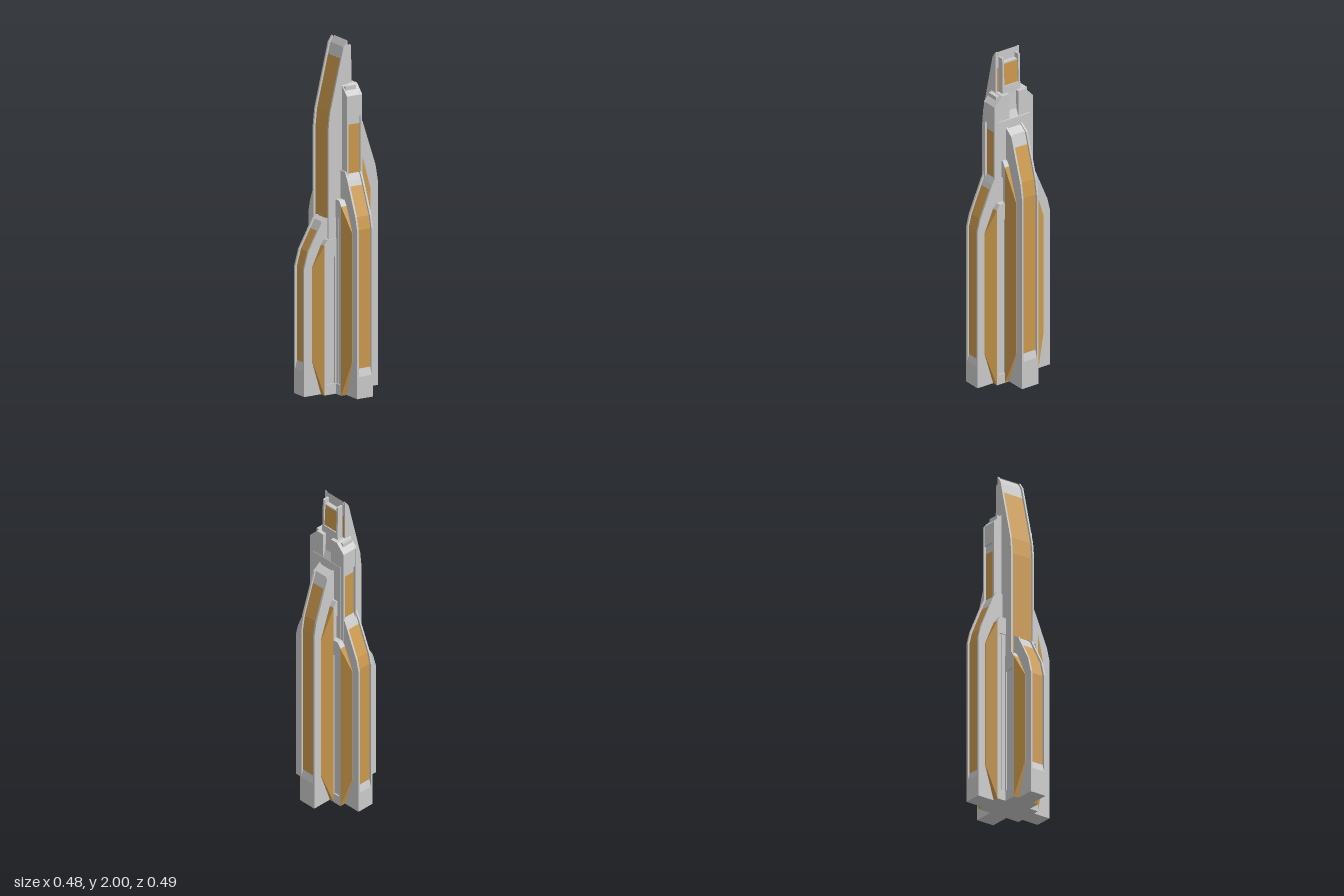
import * as THREE from 'three';

const grey = new THREE.MeshStandardMaterial({ color: 0xcccccc, flatShading: true });
const gold = new THREE.MeshStandardMaterial({ color: 0xcc9a4d, flatShading: true });

// Side outline (r, y) extruded between two z planes, with an optional hole
function slab(parent, name, pts, z0, z1, mat = grey, hole) {
  const shape = new THREE.Shape(pts.map(p => new THREE.Vector2(...p)));
  if (hole) shape.holes.push(new THREE.Path(hole.map(p => new THREE.Vector2(...p))));
  const geo = new THREE.ExtrudeGeometry(shape, { depth: z1 - z0, bevelEnabled: false });
  geo.translate(0, 0, z0);
  const mesh = new THREE.Mesh(geo, mat);
  mesh.name = name;
  parent.add(mesh);
  return mesh;
}

const rect = (x0, y0, x1, y1) => [[x0, y0], [x1, y0], [x1, y1], [x0, y1]];

// Part of a rising path between two heights
function clip(path, y0, y1) {
  const at = y => {
    for (let i = 1; i < path.length; i++) {
      const [a, b] = [path[i - 1], path[i]];
      if (y <= b[1]) return [a[0] + (b[0] - a[0]) * (y - a[1]) / (b[1] - a[1]), y];
    }
    return path[path.length - 1];
  };
  return [at(y0), ...path.filter(p => p[1] > y0 && p[1] < y1), at(y1)];
}

// Buttress: two side rails with a recessed gold strip, grey foot and cap between them
function buttress(parent, { path, inner, w, goldFrom, goldTo, foot, capFrom }) {
  const rail = 0.011, inset = 0.012;
  const bottom = path[0][1], top = path[path.length - 1][1];
  const body = (y0, y1, d) => {
    const line = clip(path, y0, y1).map(([r, y]) => [r - d, y]);
    return [[inner, y0], ...line, [inner, y1]];
  };
  for (const s of [-1, 1]) {
    const a = s * w, b = s * (w - rail);
    slab(parent, 'rail', body(bottom, top, 0), Math.min(a, b), Math.max(a, b));
  }
  const m = w - rail;
  slab(parent, 'goldStrip', body(goldFrom, goldTo, inset), -m, m, gold);
  slab(parent, 'cap', body(goldTo, top, inset), -m, m);
  if (capFrom) slab(parent, 'raisedCap', body(capFrom, top, 0.001), -m, m);
  if (foot) {
    const r = path[0][0];
    slab(parent, 'foot', [[inner, 0], [r, 0], [r, goldFrom - 0.045], [r - inset, goldFrom], [inner, goldFrom]], -m, m);
  }
}

// Slanted gold flanks and the panelled column behind a buttress
function flanks(parent, { r1, r2, w, w2, ya, yb }) {
  const wing = slab(parent, 'goldFlank', [[r2, 0], [r1, 0.2], [r1, ya], [r2, yb]], -w2, w2, gold);
  const p = wing.geometry.attributes.position;
  for (let i = 0; i < p.count; i++) {
    if (p.getX(i) > r2 + 0.01) p.setZ(i, Math.sign(p.getZ(i)) * (w + 0.003));
  }
  wing.geometry.computeVertexNormals();

  const outline = [[0, 0], [r2, 0], [r2, yb], [r2 - 0.02, yb + 0.03], [0, yb + 0.03]];
  const d = 0.008;
  slab(parent, 'column', outline, -w2 + d, w2 - d);
  const hole = rect(0.06, 0.06, r2 - 0.012, yb - 0.07);
  slab(parent, 'columnFrame', outline, w2 - d, w2, grey, hole);
  slab(parent, 'columnFrame', outline, -w2, -w2 + d, grey, hole);
}

export function createModel() {
  const model = new THREE.Group();
  model.name = 'tower';
  const side = (name, angle, x = 0) => {
    const g = new THREE.Group();
    g.name = name;
    g.rotation.y = angle;
    g.position.x = x;
    model.add(g);
    return g;
  };

  // Tall buttress on the left
  const left = side('leftButtress', 0);
  buttress(left, {
    path: [[0.24, 0], [0.24, 1.17], [0.225, 1.26], [0.14, 1.52], [0.09, 1.555]],
    inner: 0.05, w: 0.056, goldFrom: 0.21, goldTo: 1.45, foot: true,
  });
  flanks(left, { r1: 0.19, r2: 0.12, w: 0.056, w2: 0.085, ya: 1.13, yb: 1.33 });

  // Short buttress on the right
  const right = side('rightButtress', Math.PI);
  buttress(right, {
    path: [[0.24, 0], [0.24, 0.73], [0.215, 0.82], [0.125, 0.98], [0.095, 1.0]],
    inner: 0.04, w: 0.051, goldFrom: 0.19, goldTo: 0.93, foot: true,
  });
  flanks(right, { r1: 0.19, r2: 0.13, w: 0.051, w2: 0.085, ya: 0.73, yb: 0.855 });

  // Matching front and back buttresses, each with an upper shaft
  for (const [name, angle] of [['front', -Math.PI / 2], ['back', Math.PI / 2]]) {
    const g = side(name + 'Buttress', angle, 0.033);
    buttress(g, {
      path: [[0.247, 0], [0.247, 0.96], [0.23, 1.03], [0.15, 1.22], [0.125, 1.27]],
      inner: 0.05, w: 0.053, goldFrom: 0.17, goldTo: 1.19, foot: true,
    });
    flanks(g, { r1: 0.2, r2: 0.14, w: 0.053, w2: 0.088, ya: 0.94, yb: 1.08 });
    const shaft = side(name + 'Shaft', angle, 0.038);
    buttress(shaft, {
      path: [[0.132, 1.0], [0.132, 1.7], [0.08, 1.755]],
      inner: 0.03, w: 0.05, goldFrom: 1.0, goldTo: 1.535, capFrom: 1.58,
    });
  }

  // Central core with a stepped left face
  slab(model, 'core', [[-0.05, 0], [0.09, 0], [0.09, 1.6], [0.07, 1.645], [0.065, 1.75], [-0.005, 1.75], [-0.005, 1.1], [-0.05, 1.1]], -0.105, 0.105);

  // Spire leaning in from the right
  const spire = side('spire', Math.PI);
  buttress(spire, {
    path: [[0.1, 0.8], [0.1, 1.5], [0.09, 1.6], [0.002, 1.965], [-0.022, 2.0]],
    inner: -0.026, w: 0.08, goldFrom: 0.9, goldTo: 1.9,
  });

  // Gold window between two cheeks on the spire's left face
  slab(model, 'spireWindow', [[0.02, 1.74], [0.06, 1.74], [0.06, 1.8], [0.053, 1.93], [0.02, 1.93]], -0.048, 0.048, gold);
  slab(model, 'windowRoof', rect(0.02, 1.93, 0.052, 1.938), -0.048, 0.048);
  slab(model, 'windowSill', rect(0.02, 1.74, 0.066, 1.8), -0.06, 0.06);
  for (const z of [-0.06, 0.048]) {
    slab(model, 'windowCheek', [[0.02, 1.74], [0.066, 1.74], [0.061, 1.97], [0.02, 1.97]], z, z + 0.012);
  }
  return model;
}
